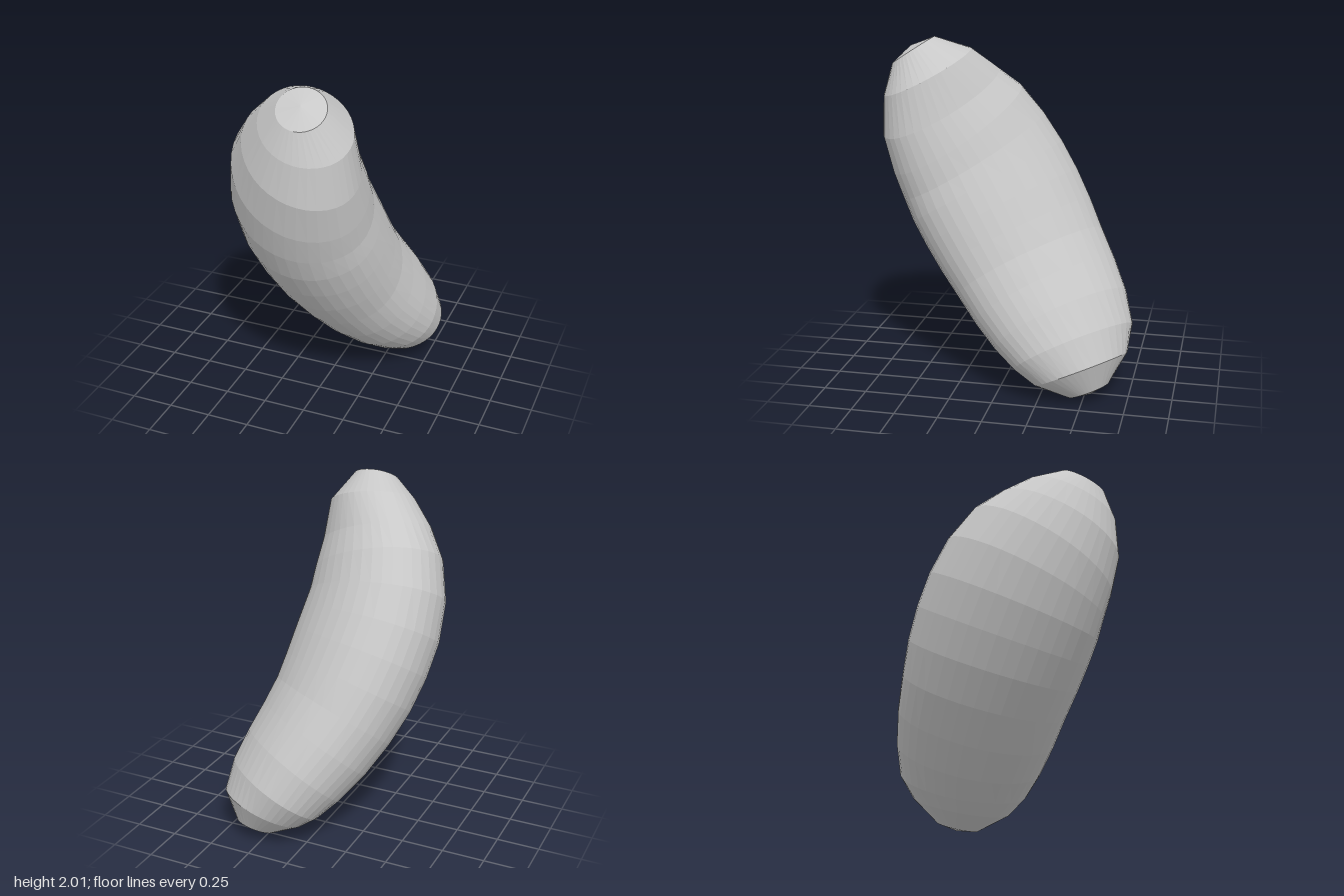
import * as THREE from 'three';

const SIDES = 40;

// Rings along the bowed spine, top to bottom: x, y, z, radius
const RINGS = [
  [0.04, 1.93, 0.555, 0.14],
  [0.035, 1.805, 0.475, 0.27],
  [-0.01, 1.62, 0.41, 0.355],
  [-0.055, 1.46, 0.325, 0.415],
  [-0.085, 1.3, 0.235, 0.445],
  [-0.08, 1.15, 0.15, 0.46],
  [-0.055, 1.0, 0.06, 0.46],
  [-0.02, 0.85, -0.03, 0.45],
  [0.03, 0.7, -0.125, 0.43],
  [0.1, 0.55, -0.23, 0.41],
  [0.18, 0.41, -0.335, 0.38],
  [0.255, 0.28, -0.425, 0.335],
  [0.3, 0.165, -0.48, 0.268],
  [0.325, 0.05, -0.53, 0.12],
];

// Section half-axes as shares of the radius: the inner face is flattest
const INNER = 0.8, OUTER = 0.91, BACK = 1.18, FRONT = 1.11;

function beanGeometry() {
  const centres = RINGS.map(([x, y, z]) => new THREE.Vector3(x, y, z));
  const last = RINGS.length - 1;
  const positions = [];
  const index = [];
  // Upward spine direction at a ring
  const direction = (i) => centres[Math.max(i - 1, 0)].clone()
    .sub(centres[Math.min(i + 1, last)]).normalize();

  // Flattened oval sections square to the spine, rounder at the tips
  RINGS.forEach(([, , , r], i) => {
    const n = direction(i);
    const u = new THREE.Vector3(1, 0, 0).addScaledVector(n, -n.x).normalize();
    const v = n.clone().cross(u);
    const narrow = u.clone().add(v).normalize();
    const wide = n.clone().cross(narrow);
    const oval = Math.min(1, 0.3 + 0.35 * Math.min(i, last - i));
    const axis = (share) => r * (1 + (share - 1) * oval);
    for (let j = 0; j < SIDES; j++) {
      const a = (j / SIDES) * Math.PI * 2;
      const c = Math.cos(a);
      const s = Math.sin(a);
      const p = centres[i].clone()
        .addScaledVector(narrow, c * axis(c > 0 ? INNER : OUTER))
        .addScaledVector(wide, s * axis(s > 0 ? BACK : FRONT));
      positions.push(p.x, p.y, p.z);
    }
  });

  // Shallow domed ends
  const top = centres[0].clone().addScaledVector(direction(0), 0.03);
  const bottom = centres[last].clone().addScaledVector(direction(last), -0.025);
  positions.push(...top.toArray(), ...bottom.toArray());
  const topPole = RINGS.length * SIDES;

  for (let j = 0; j < SIDES; j++) {
    const k = (j + 1) % SIDES;
    for (let i = 0; i < last; i++) {
      const a = i * SIDES;
      const b = a + SIDES;
      index.push(a + j, b + j, b + k, a + j, b + k, a + k);
    }
    index.push(topPole, j, k);
    index.push(topPole + 1, last * SIDES + k, last * SIDES + j);
  }

  const geometry = new THREE.BufferGeometry();
  geometry.setAttribute('position', new THREE.Float32BufferAttribute(positions, 3));
  geometry.setIndex(index);
  geometry.computeVertexNormals();
  return geometry;
}

export function createModel() {
  const group = new THREE.Group();
  group.name = 'bean';
  const grey = new THREE.MeshStandardMaterial({ color: 0xc8c8c8, flatShading: true });
  grey.name = 'light grey';
  const body = new THREE.Mesh(beanGeometry(), grey);
  body.name = 'beanBody';
  group.add(body);
  return group;
}
